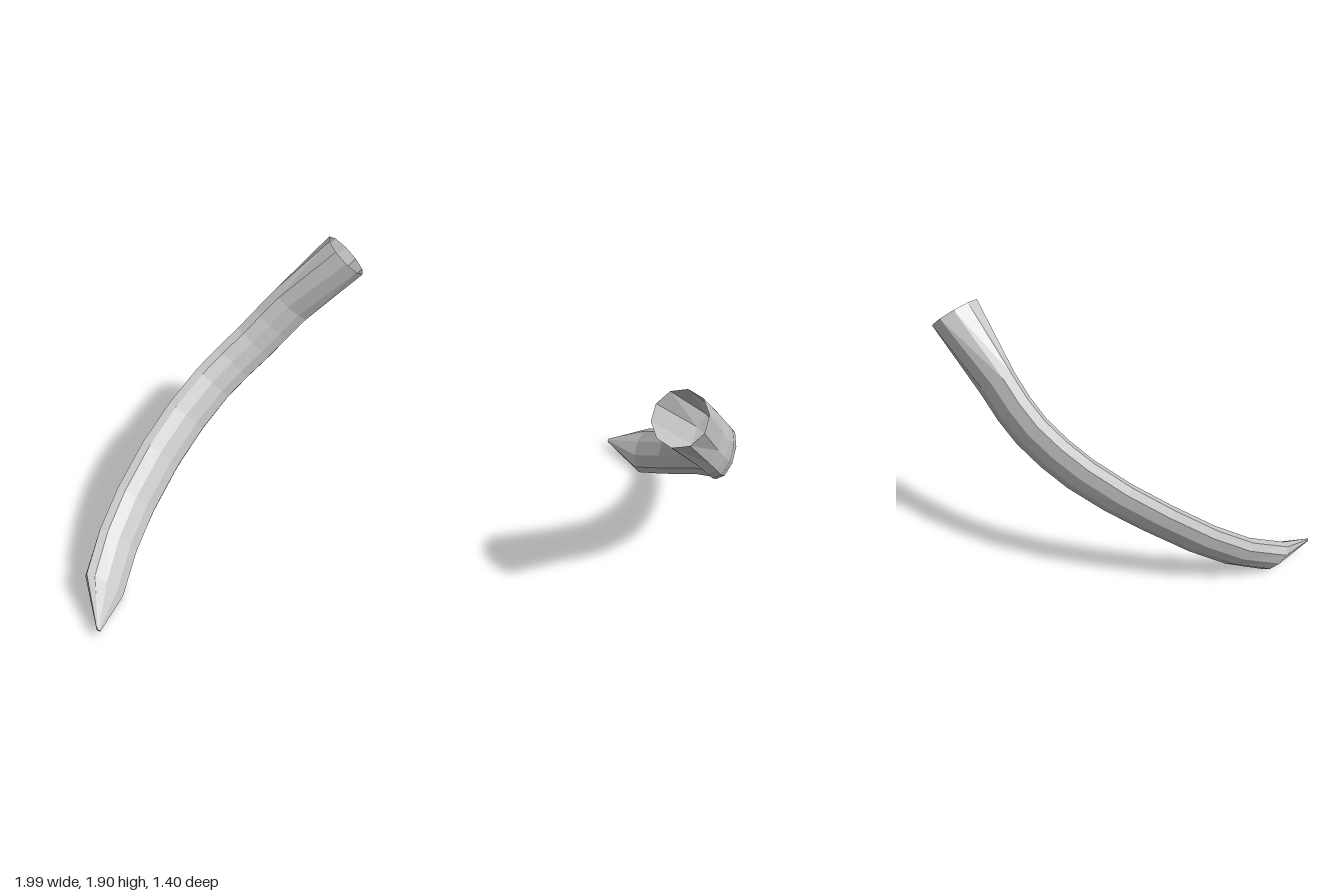
import * as THREE from 'three';

const SIDES = 10;

// Stations from open mouth to tip: x, y, z, roll of the wide axis (degrees), half width, half thickness
const STATIONS = [
  [0.88, 1.80, -0.545, 136, 0.16, 0.16],
  [0.54, 1.455, -0.585, 135, 0.165, 0.082],
  [0.42, 1.325, -0.59, 134, 0.165, 0.08],
  [0.30, 1.205, -0.58, 132, 0.165, 0.078],
  [0.15, 1.085, -0.55, 129, 0.165, 0.076],
  [0.00, 0.97, -0.50, 128, 0.165, 0.075],
  [-0.20, 0.81, -0.39, 130, 0.165, 0.075],
  [-0.40, 0.64, -0.24, 132, 0.165, 0.075],
  [-0.60, 0.445, -0.05, 132, 0.165, 0.075],
  [-0.75, 0.285, 0.14, 131, 0.165, 0.076],
  [-0.88, 0.138, 0.38, 128, 0.165, 0.078],
  [-0.96, 0.085, 0.70, 128, 0.015, 0.01],
];

// Elliptical ring of points at station i
function ring(i) {
  const last = STATIONS.length - 2; // the tip follows the direction of the last full ring
  const k = Math.min(i, last);
  const at = (j) => new THREE.Vector3(...STATIONS[j].slice(0, 3));
  const tangent = at(Math.min(k + 1, last)).sub(at(Math.max(k - 1, 0))).normalize();
  const [, , , roll, halfWidth, halfThickness] = STATIONS[i];
  const r = THREE.MathUtils.degToRad(roll);
  const wide = new THREE.Vector3(Math.cos(r), Math.sin(r), 0);
  const thin = new THREE.Vector3().crossVectors(tangent, wide).normalize();
  return Array.from({ length: SIDES }, (_, j) => {
    const a = (j / SIDES) * Math.PI * 2;
    return at(i)
      .addScaledVector(wide, halfWidth * Math.cos(a))
      .addScaledVector(thin, halfThickness * Math.sin(a));
  });
}

// Skin between consecutive rings, with an optional cap on the last one
function loft(rings, capEnd) {
  const points = rings.flat();
  const index = [];
  for (let i = 0; i < rings.length - 1; i++) {
    for (let j = 0; j < SIDES; j++) {
      const a = i * SIDES + j;
      const b = i * SIDES + ((j + 1) % SIDES);
      index.push(a, b, a + SIDES, b, b + SIDES, a + SIDES);
    }
  }
  if (capEnd) {
    const s = (rings.length - 1) * SIDES;
    for (let j = 1; j < SIDES - 1; j++) index.push(s, s + j, s + j + 1);
  }
  const geometry = new THREE.BufferGeometry().setFromPoints(points);
  geometry.setIndex(index);
  geometry.computeVertexNormals();
  return geometry;
}

export function createModel() {
  const group = new THREE.Group();
  group.name = 'curvedHorn';
  const material = new THREE.MeshStandardMaterial({
    color: 0xcccccc, flatShading: true, side: THREE.DoubleSide,
  });
  const rings = STATIONS.map((_, i) => ring(i));
  const end = rings.length - 1;

  const add = (name, part, cap) => {
    const mesh = new THREE.Mesh(loft(part, cap), material);
    mesh.name = name;
    group.add(mesh);
  };
  add('flaredMouth', rings.slice(0, 2), false);
  add('flattenedBody', rings.slice(1, end), false);
  add('pointedTip', rings.slice(end - 1), true);
  return group;
}
